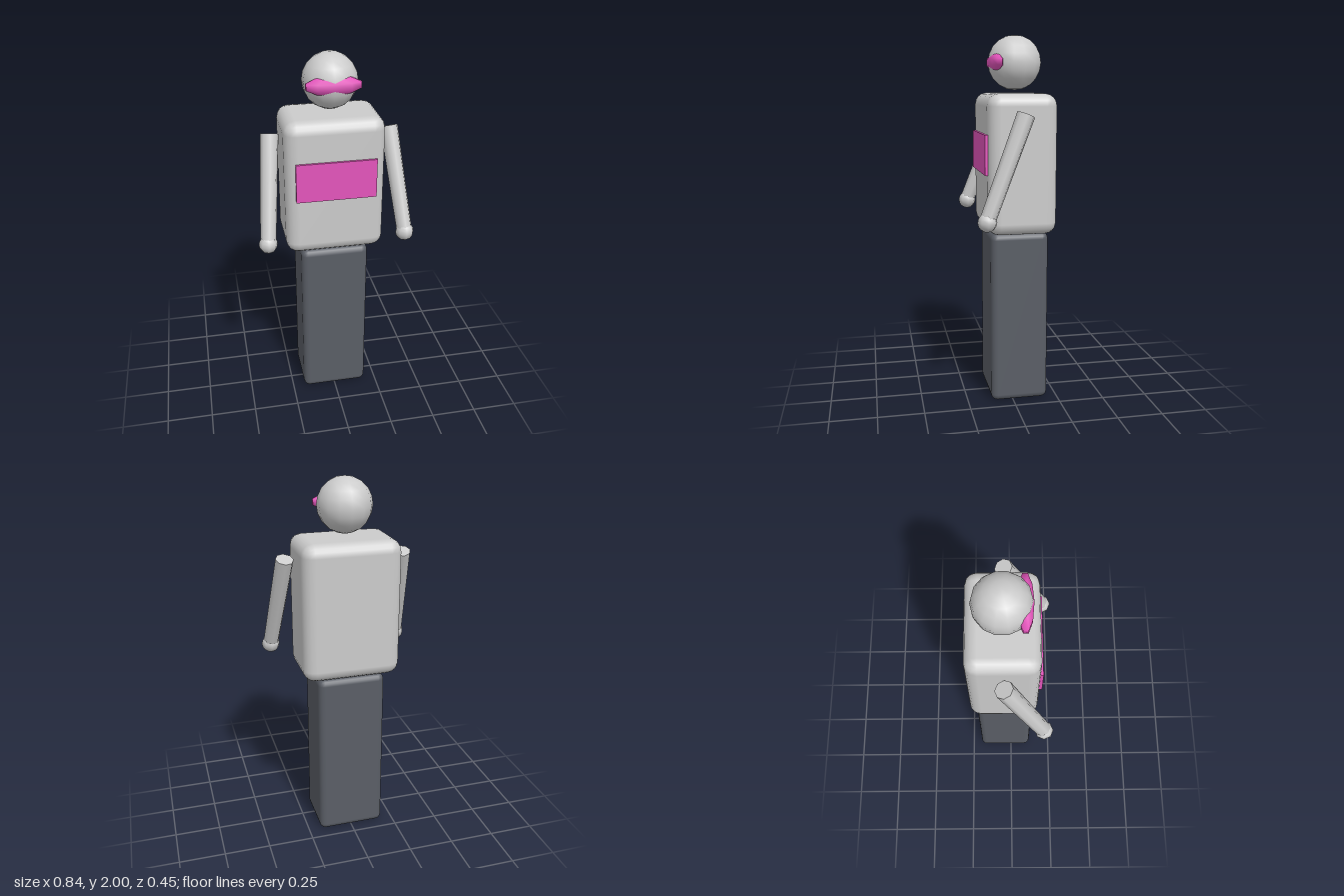
import * as THREE from 'three';
import { RoundedBoxGeometry } from 'three/addons/geometries/RoundedBoxGeometry.js';

export function createModel() {
  const model = new THREE.Group();
  const grey = new THREE.MeshStandardMaterial({ color: 0xcccccc });
  const dark = new THREE.MeshStandardMaterial({ color: 0x5a5e66 });
  const pink = new THREE.MeshStandardMaterial({ color: 0xe455bc });

  const add = (name, geometry, material, x, y, z, parent = model) => {
    const mesh = new THREE.Mesh(geometry, material);
    mesh.name = name;
    mesh.position.set(x, y, z);
    parent.add(mesh);
    return mesh;
  };

  // Legs and torso as softly bevelled blocks
  add('legs', new RoundedBoxGeometry(0.37, 0.95, 0.315, 2, 0.035), dark, 0, 0.48, -0.0375);
  add('torso', new RoundedBoxGeometry(0.528, 0.74, 0.37, 2, 0.065), grey, 0, 1.325, -0.04);
  add('chestPanel', new THREE.BoxGeometry(0.424, 0.21, 0.03), pink, 0, 1.38, 0.143);

  // Head with a flattened eye mask sunk into its front
  const head = add('head', new THREE.SphereGeometry(0.145, 14, 10), grey, 0, 1.855, -0.04);
  head.rotation.y = Math.PI / 2;
  const maskShape = new THREE.SphereGeometry(1, 10, 5);
  maskShape.rotateY(Math.PI / 2);
  maskShape.scale(0.155, 0.05, 0.042);
  add('eyeMask', maskShape, pink, 0, 1.856, 0.065);

  // Arms hang outward and forward, ending in round hands
  for (const side of [1, -1]) {
    const arm = new THREE.Group();
    arm.name = side > 0 ? 'leftArm' : 'rightArm';
    model.add(arm);
    const shoulder = new THREE.Vector3(side * 0.318, 1.592, -0.035);
    const wrist = new THREE.Vector3(side * 0.37, 1.06, 0.175);
    const axis = shoulder.clone().sub(wrist);
    const mid = shoulder.clone().add(wrist).multiplyScalar(0.5);
    const sleeve = add('sleeve', new THREE.CylinderGeometry(0.048, 0.042, axis.length(), 8),
      grey, mid.x, mid.y, mid.z, arm);
    sleeve.quaternion.setFromUnitVectors(new THREE.Vector3(0, 1, 0), axis.normalize());
    add('hand', new THREE.SphereGeometry(0.05, 8, 8), grey, wrist.x, wrist.y, wrist.z - 0.002, arm);
  }
  return model;
}
